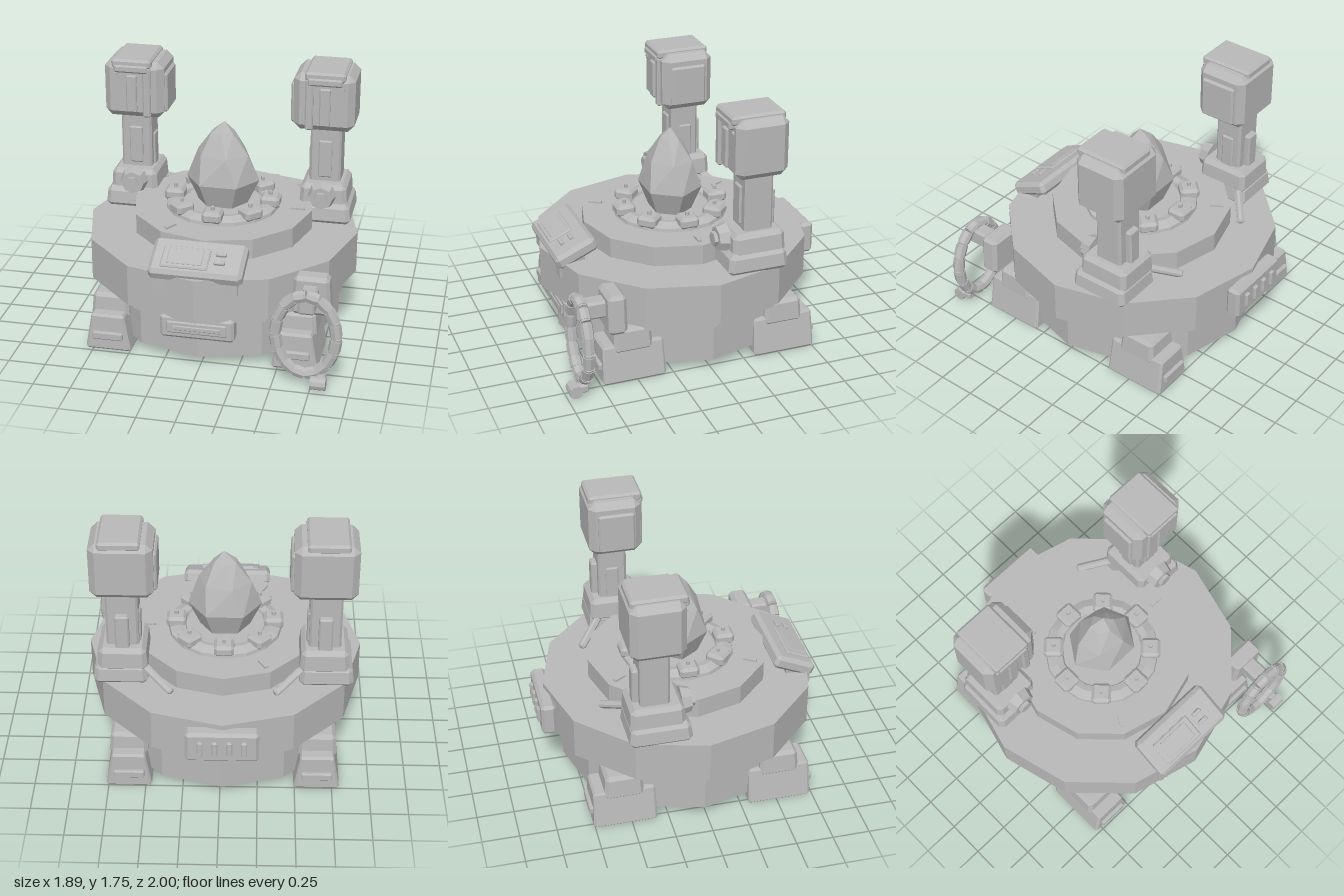
import * as THREE from 'three';
import { ConvexGeometry } from 'three/addons/geometries/ConvexGeometry.js';

const grey = new THREE.MeshStandardMaterial({ color: 0xb8b8b8 });
grey.name = 'plain grey';

const V = (x, y, z) => new THREE.Vector3(x, y, z);
const lathePts = (list) => list.map(([r, y]) => new THREE.Vector2(r, y));

// faceted normals
function flat(geo) {
  const g = geo.index ? geo.toNonIndexed() : geo;
  g.computeVertexNormals();
  return g;
}

// box with chamfered edges; the top can be narrowed in x and z
function bevelBox(w, h, d, c, tx = 1, tz = 1) {
  const pts = [];
  for (const i of [-1, 1]) for (const j of [-1, 1]) for (const k of [-1, 1]) {
    for (const [a, b, e] of [[0, c, c], [c, 0, c], [c, c, 0]]) {
      const up = j > 0;
      pts.push(V(i * (w / 2 - a) * (up ? tx : 1), j * (h / 2 - b), k * (d / 2 - e) * (up ? tz : 1)));
    }
  }
  return new ConvexGeometry(pts);
}

function add(parent, name, geo, pos = [0, 0, 0], rot = [0, 0, 0]) {
  const m = new THREE.Mesh(flat(geo), grey);
  m.name = name;
  m.position.set(...pos);
  m.rotation.set(...rot);
  parent.add(m);
  return m;
}

// chamfered box given by its extents
function block(parent, name, [x0, x1], [y0, y1], [z0, z1], c = 0.02, tx = 1, tz = 1) {
  return add(parent, name, bevelBox(Math.abs(x1 - x0), y1 - y0, Math.abs(z1 - z0), c, tx, tz),
    [(x0 + x1) / 2, (y0 + y1) / 2, (z0 + z1) / 2]);
}

// beam from one point to another
function beam(parent, name, a, b, geo) {
  const m = add(parent, name, geo, a.clone().add(b).multiplyScalar(0.5).toArray());
  m.quaternion.setFromUnitVectors(V(0, 1, 0), b.clone().sub(a).normalize());
  return m;
}

function group(parent, name) {
  const g = new THREE.Group();
  g.name = name;
  parent.add(g);
  return g;
}

function buildBody(root) {
  add(root, 'body', new THREE.LatheGeometry(lathePts([
    [0, 0.065], [0.815, 0.065], [0.815, 0.345], [0.88, 0.345], [0.88, 0.39],
    [0.928, 0.39], [0.928, 0.675], [0.615, 0.675], [0.615, 0.812], [0, 0.812]]), 12));
  // ring below the crystal
  add(root, 'podRing', new THREE.LatheGeometry(lathePts([
    [0.39, 0.81], [0.385, 0.835], [0.325, 0.86], [0.28, 0.85], [0.27, 0.83], [0, 0.83]]), 16));
  for (let i = 0; i < 3; i++) {
    const a = i * Math.PI * 2 / 3;
    add(root, 'deckMark', new THREE.BoxGeometry(0.09, 0.02, 0.026),
      [0.52 * Math.cos(a), 0.815, 0.52 * Math.sin(a)], [0, -a, 0]);
  }
  // eight studded pods
  for (let i = 0; i < 8; i++) {
    const a = i * Math.PI / 4;
    const pod = group(root, 'pod');
    pod.position.set(0.33 * Math.sin(a), 0, 0.33 * Math.cos(a));
    pod.rotation.y = a;
    block(pod, 'podBlock', [-0.067, 0.067], [0.825, 0.905], [-0.067, 0.067], 0.02);
    add(pod, 'podStud', new THREE.CylinderGeometry(0.015, 0.015, 0.04, 6), [0, 0.91, 0]);
  }
  // faceted crystal with twisted upper rows
  const pts = [V(0.01, 1.41, 0)];
  for (const [r, y, twist] of [[0.17, 0.83, 0], [0.25, 1.0, 0], [0.185, 1.19, 0.25], [0.085, 1.335, 0.5]])
    for (let i = 0; i < 6; i++) {
      const a = i * Math.PI / 3 + twist;
      pts.push(V(r * Math.cos(a), y, r * 0.85 * Math.sin(a)));
    }
  add(root, 'crystal', new ConvexGeometry(pts));
}

function buildTower(root, s) {
  const t = group(root, s > 0 ? 'leftTower' : 'rightTower');
  const X = (a, b) => [a * s, b * s];
  block(t, 'towerFoot', X(0.5, 0.86), [0.67, 0.815], [-0.505, -0.09], 0.03, 0.95, 0.95);
  block(t, 'towerBase', X(0.5, 0.83), [0.77, 0.94], [-0.495, -0.13], 0.03, 0.95, 0.97);
  block(t, 'column', X(0.557, 0.77), [0.9, 1.36], [-0.42, -0.225], 0.015);
  block(t, 'columnFrontPlate', X(0.617, 0.71), [0.97, 1.235], [-0.24, -0.21], 0.008);
  block(t, 'columnBackPlate', X(0.617, 0.71), [0.92, 1.18], [-0.46, -0.4], 0.01);
  block(t, 'columnSidePlate', X(0.545, 0.57), [0.92, 1.17], [-0.37, -0.28], 0.008);
  // hexagonal hub
  add(t, 'hub', new THREE.CylinderGeometry(0.08, 0.1, 0.07, 8), [0.66 * s, 0.87, -0.105], [Math.PI / 2, 0, 0]);
  add(t, 'hubNut', new THREE.CylinderGeometry(0.05, 0.05, 0.03, 6), [0.66 * s, 0.87, -0.06], [Math.PI / 2, Math.PI / 6, 0]);
  // head and its plates
  block(t, 'head', X(0.446, 0.86), [1.33, 1.73], [-0.49, -0.13], 0.045);
  block(t, 'headCap', X(0.525, 0.8), [1.69, 1.752], [-0.48, -0.11], 0.015);
  block(t, 'capClasp', X(0.545, 0.78), [1.66, 1.715], [-0.15, -0.1], 0.012);
  block(t, 'headFrontPlate', X(0.627, 0.7), [1.375, 1.64], [-0.15, -0.112], 0.008);
  block(t, 'headRib', X(0.53, 0.585), [1.345, 1.7], [-0.15, -0.11], 0.01);
  block(t, 'headSidePlate', X(0.426, 0.46), [1.37, 1.65], [-0.43, -0.18], 0.012);
  add(t, 'headBolt', new THREE.CylinderGeometry(0.014, 0.014, 0.03, 6), [0.78 * s, 1.64, -0.132], [Math.PI / 2, 0, 0]);
  // brace down to the deck
  const a = V(0.53 * s, 0.79, -0.44), b = V(0.35 * s, 0.69, -0.59);
  beam(t, 'brace', a, b, bevelBox(0.05, a.distanceTo(b) + 0.03, 0.05, 0.012));
}

function buildLeg(root, sx, sz) {
  const l = group(root, 'leg');
  const X = (a, b) => [a * sx, b * sx], Z = (a, b) => [a * sz, b * sz];
  block(l, 'foot', X(0.476, 0.782), [0, 0.26], Z(0.315, 0.745), 0.015, 0.74, 0.97);
  block(l, 'legBlock', X(0.5, 0.76), [0.2, 0.375], Z(0.395, 0.665), 0.025, 0.92, 0.92);
  block(l, 'footPlate', X(0.525, 0.73), [0.085, 0.14], Z(0.72, 0.765), 0.008);
}

function buildConsole(root) {
  const c = group(root, 'console');
  const desk = group(c, 'desk');
  desk.position.set(0, 0.735, 0.765);
  desk.rotation.x = 0.42;
  block(desk, 'deskSlab', [-0.307, 0.307], [-0.055, 0.045], [-0.155, 0.145], 0.025);
  block(desk, 'screenFrame', [-0.23, 0.08], [0.03, 0.058], [-0.07, 0.105], 0.008);
  block(desk, 'screen', [-0.19, 0.04], [0.04, 0.064], [-0.045, 0.08], 0.004);
  for (const z of [-0.03, 0.04]) block(desk, 'button', [0.115, 0.185], [0.03, 0.066], [z - 0.014, z + 0.014], 0.006);
  // wedge brackets
  for (const s of [-1, 1]) {
    const pts = [];
    for (const [x, y] of [[0.285, 0.7], [0.06, 0.7], [0.06, 0.67], [0.2, 0.57], [0.275, 0.57]])
      pts.push(V(x * s, y, 0.7), V(x * s, y, 0.875));
    add(c, 'bracket', new ConvexGeometry(pts));
  }
}

function buildPanels(root) {
  block(root, 'frontPanel', [-0.247, 0.247], [0.2, 0.365], [0.7, 0.84], 0.02);
  block(root, 'frontSlotFrame', [-0.2, 0.2], [0.243, 0.327], [0.82, 0.85], 0.008);
  block(root, 'frontSlot', [-0.16, 0.16], [0.27, 0.3], [0.83, 0.857], 0.004);
  block(root, 'backPanel', [-0.24, 0.24], [0.415, 0.64], [-0.98, -0.88], 0.02);
  for (let i = 0; i < 4; i++) {
    const x = -0.143 + i * 0.095;
    block(root, 'backStud', [x - 0.02, x + 0.02], [0.475, 0.585], [-1.0, -0.96], 0.008);
  }
}

function buildHose(root) {
  const h = group(root, 'hose');
  block(h, 'hoseMount', [0.595, 0.857], [0.4, 0.67], [0.6, 0.725], 0.025, 0.88, 1);
  block(h, 'hoseArm', [0.667, 0.777], [0.5, 0.62], [0.68, 0.91], 0.015);
  // banded oval coil
  const at = (a, k = 1) => V(0.722 + 0.198 * k * Math.cos(a), 0.35 + 0.28 * k * Math.sin(a), 0.885);
  const n = 16, step = Math.PI * 2 / n;
  for (let i = 0; i < n; i++) {
    const a = at(i * step), b = at((i + 1) * step), len = a.distanceTo(b);
    beam(h, 'hoseSegment', a, b, new THREE.CylinderGeometry(0.036, 0.036, len, 8));
    beam(h, 'hoseBand', a.clone().lerp(b, 0.12), a.clone().lerp(b, 0.88),
      new THREE.CylinderGeometry(0.041, 0.041, len * 0.7, 8));
  }
  // nozzle
  add(h, 'nozzle', new THREE.CylinderGeometry(0.044, 0.044, 0.1, 10), [0.82, 0.05, 0.96], [0, 0, Math.PI / 2]);
  block(h, 'nozzleNeck', [0.8, 0.86], [0.03, 0.09], [0.87, 0.96], 0.012);
}

export function createModel() {
  const model = new THREE.Group();
  model.name = 'crystalMachine';
  const root = group(model, 'machine');
  root.position.set(-0.018, 0, -0.012);
  buildBody(root);
  for (const s of [-1, 1]) {
    buildTower(root, s);
    for (const z of [-1, 1]) buildLeg(root, s, z);
  }
  buildConsole(root);
  buildPanels(root);
  buildHose(root);
  return model;
}
